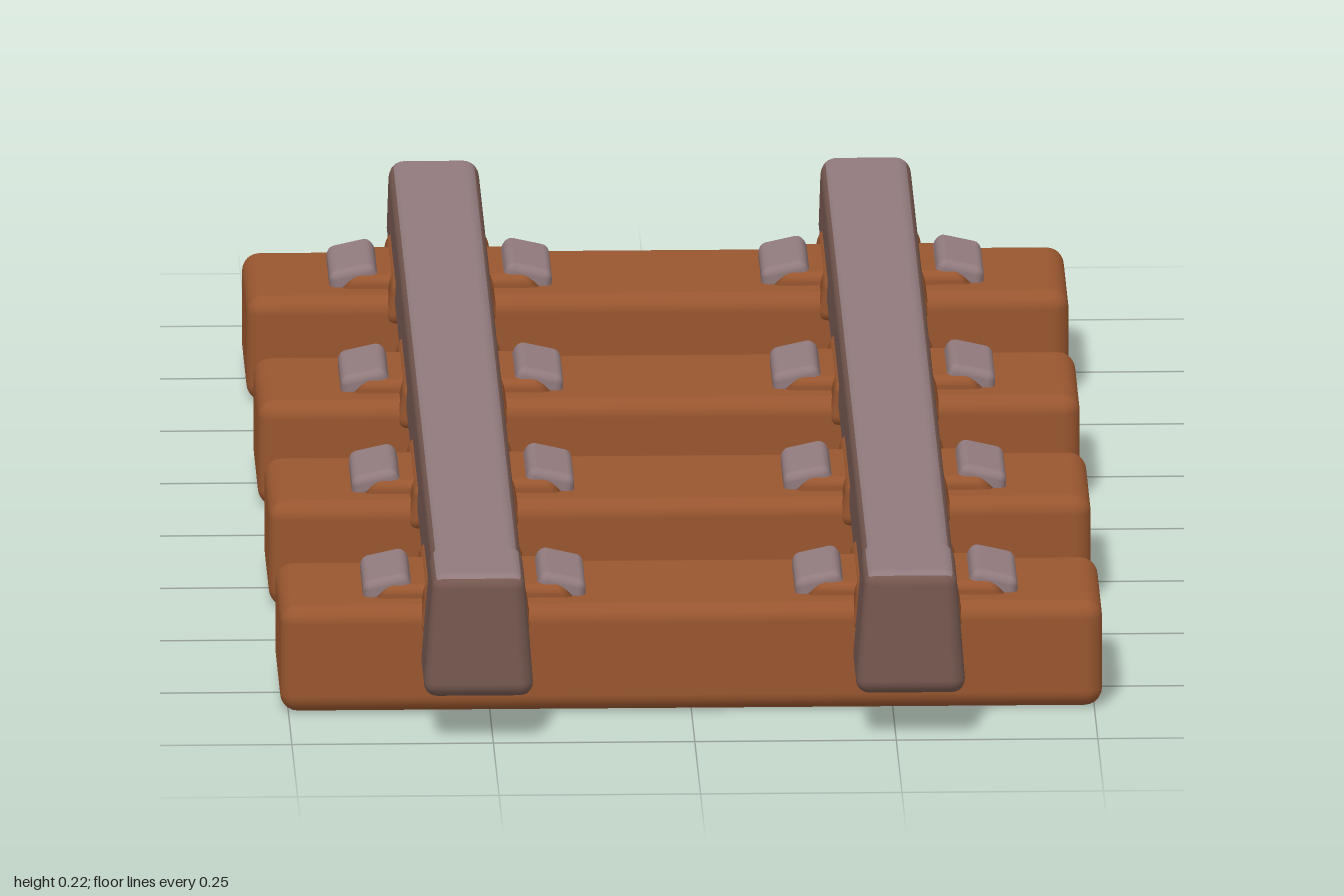
import * as THREE from 'three';
import { RoundedBoxGeometry } from 'three/addons/geometries/RoundedBoxGeometry.js';

const mat = (name, color) => {
  const m = new THREE.MeshStandardMaterial({ color });
  m.name = name;
  return m;
};

// Soft-edged block standing on its base, its width scaled by `taper` at the top
function block(w, h, d, radius, taper = 1) {
  const g = new RoundedBoxGeometry(w, h, d, 3, radius);
  const p = g.attributes.position;
  for (let i = 0; i < p.count; i++) {
    const t = p.getY(i) / h + 0.5;
    p.setX(i, p.getX(i) * (1 + (taper - 1) * t));
  }
  g.translate(0, h / 2, 0);
  return g;
}

export function createModel() {
  const group = new THREE.Group();
  group.name = 'railTrack';
  const wood = mat('wood', 0x98562f);
  const steel = mat('steel', 0x917a7d);
  const darkSteel = mat('darkSteel', 0x765850);
  // Side order: +x, -x, top, bottom, front, back
  const railMats = [darkSteel, darkSteel, steel, darkSteel, darkSteel, darkSteel];

  const add = (name, geometry, material, x, y, z, tilt = 0) => {
    const m = new THREE.Mesh(geometry, material);
    m.name = name;
    m.position.set(x, y, z);
    m.rotation.z = tilt;
    group.add(m);
  };

  const tieGeo = block(1.02, 0.136, 0.238, 0.022);
  const railGeo = block(0.118, 0.105, 2, 0.02, 0.94);
  const endGeo = block(0.138, 0.158, 0.15, 0.018, 0.82);
  const saddleGeo = block(0.145, 0.06, 0.25, 0.015, 0.84);
  const rampGeo = block(0.27, 0.03, 0.15, 0.012, 0.8);
  const clipGeo = block(0.066, 0.03, 0.135, 0.011, 0.85);
  const tieZ = [-0.742, -0.242, 0.238, 0.738];
  const railX = 0.268;

  for (const z of tieZ) add('tie', tieGeo, wood, 0, 0, z);

  for (const side of [-1, 1]) {
    const x = side * railX;
    add('rail', railGeo, railMats, x, 0.11, 0);
    // Deeper foot on the front end of each rail
    add('railFrontEnd', endGeo, railMats, x, 0.057, 0.925);

    for (const z of tieZ) {
      // Wooden bed under the rail, with a steel clip on each side
      add('railSaddle', saddleGeo, wood, x, 0.1, z);
      add('clipBed', rampGeo, wood, x, 0.122, z);
      for (const s of [-1, 1]) {
        add('clip', clipGeo, steel, x + s * 0.105, 0.131, z, -s * 0.22);
      }
    }
  }
  return group;
}
